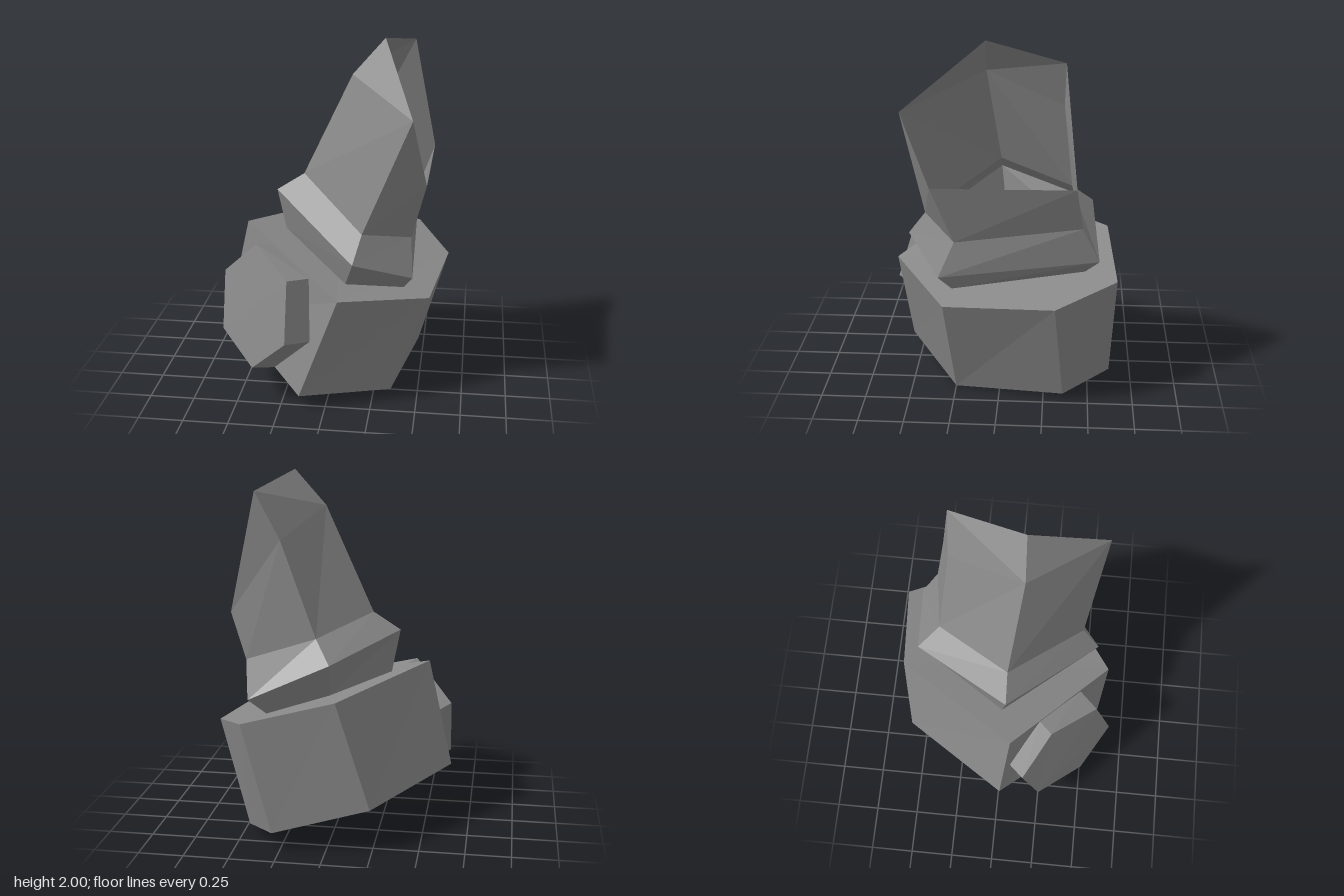
import * as THREE from 'three';

const solid = new THREE.MeshStandardMaterial({ color: 0x898989, flatShading: true });
const thin = new THREE.MeshStandardMaterial({ color: 0x898989, flatShading: true, side: THREE.DoubleSide });

// Flat-sided skin through rings of corners (counter-clockwise seen from the last ring)
function loft(rings, caps, extraTriangles = []) {
  const out = [];
  const tri = (a, b, c) => out.push(...a, ...b, ...c);
  for (let r = 0; r + 1 < rings.length; r++) {
    const lo = rings[r], hi = rings[r + 1], n = lo.length;
    for (let i = 0; i < n; i++) {
      const j = (i + 1) % n;
      tri(lo[i], lo[j], hi[j]);
      tri(lo[i], hi[j], hi[i]);
    }
  }
  if (caps) {
    const first = rings[0], last = rings[rings.length - 1];
    for (let i = 1; i + 1 < first.length; i++) {
      tri(first[0], first[i + 1], first[i]);
      tri(last[0], last[i], last[i + 1]);
    }
  }
  extraTriangles.forEach((t) => tri(...t));
  const geo = new THREE.BufferGeometry();
  geo.setAttribute('position', new THREE.Float32BufferAttribute(out, 3));
  geo.computeVertexNormals();
  return geo;
}

function add(group, name, geo, material) {
  const mesh = new THREE.Mesh(geo, material);
  mesh.name = name;
  group.add(mesh);
}

export function createModel() {
  const model = new THREE.Group();
  model.name = 'tiltedPipe';

  // Leaning six-sided base block
  const baseBottom = [
    [-0.14, 0.085, 0.555], [0.345, 0.0, 0.25], [0.47, 0.04, -0.36],
    [0.29, 0.105, -0.62], [-0.24, 0.25, -0.575], [-0.64, 0.325, 0.015],
  ];
  const baseTop = [
    [0.08, 0.685, 0.603], [0.555, 0.603, 0.298], [0.64, 0.64, -0.31],
    [0.447, 0.725, -0.645], [-0.055, 0.85, -0.6], [-0.5, 0.925, 0.065],
  ];
  add(model, 'base', loft([baseBottom, baseTop], true), solid);

  // Hexagonal knob on the side of the base
  const knobBack = [
    [-0.54, 0.3, 0.17], [-0.3, 0.18, 0.41], [-0.08, 0.41, 0.53],
    [-0.095, 0.745, 0.445], [-0.33, 0.845, 0.22], [-0.545, 0.62, 0.07],
  ];
  const knobFace = [
    [-0.625, 0.33, 0.25], [-0.41, 0.215, 0.5], [-0.2, 0.437, 0.645],
    [-0.2, 0.765, 0.545], [-0.41, 0.875, 0.295], [-0.625, 0.65, 0.15],
  ];
  add(model, 'knob', loft([knobBack, knobFace], true), solid);

  // Flared collar standing on the base
  const foot = [
    [-0.29, 0.87, 0], [0.1, 0.705, 0.4], [0.41, 0.645, 0.26],
    [0.34, 0.735, -0.47], [0, 0.84, -0.43],
  ];
  const flare = [
    [-0.335, 1.11, 0.025], [0.15, 0.865, 0.525], [0.46, 0.73, 0.33],
    [0.425, 0.83, -0.545], [-0.01, 1.025, -0.51],
  ];
  const neck = [
    [-0.18, 1.21, 0.02], [0.19, 1.005, 0.425], [0.445, 0.935, 0.24],
    [0.45, 1.03, -0.45], [0.08, 1.14, -0.39],
  ];
  add(model, 'collar', loft([foot, flare, neck], false), thin);

  // Hollow hood with its mouth open to the side
  const shoulder = [
    [0.1, 1.8, 0.085], [0.455, 1.66, 0.513], [0.527, 1.27, 0.357],
    [0.537, 1.28, -0.415], [0.28, 1.66, -0.34],
  ];
  const [ridge, frontLip, , backLip, rear] = shoulder;
  const peak = [0.275, 2, 0.075], rearPeak = [0.415, 1.92, -0.347];
  const roof = [
    [ridge, frontLip, peak], [ridge, peak, rearPeak],
    [ridge, rearPeak, rear], [rear, rearPeak, backLip],
  ];
  add(model, 'hood', loft([neck, shoulder], false, roof), thin);

  return model;
}
